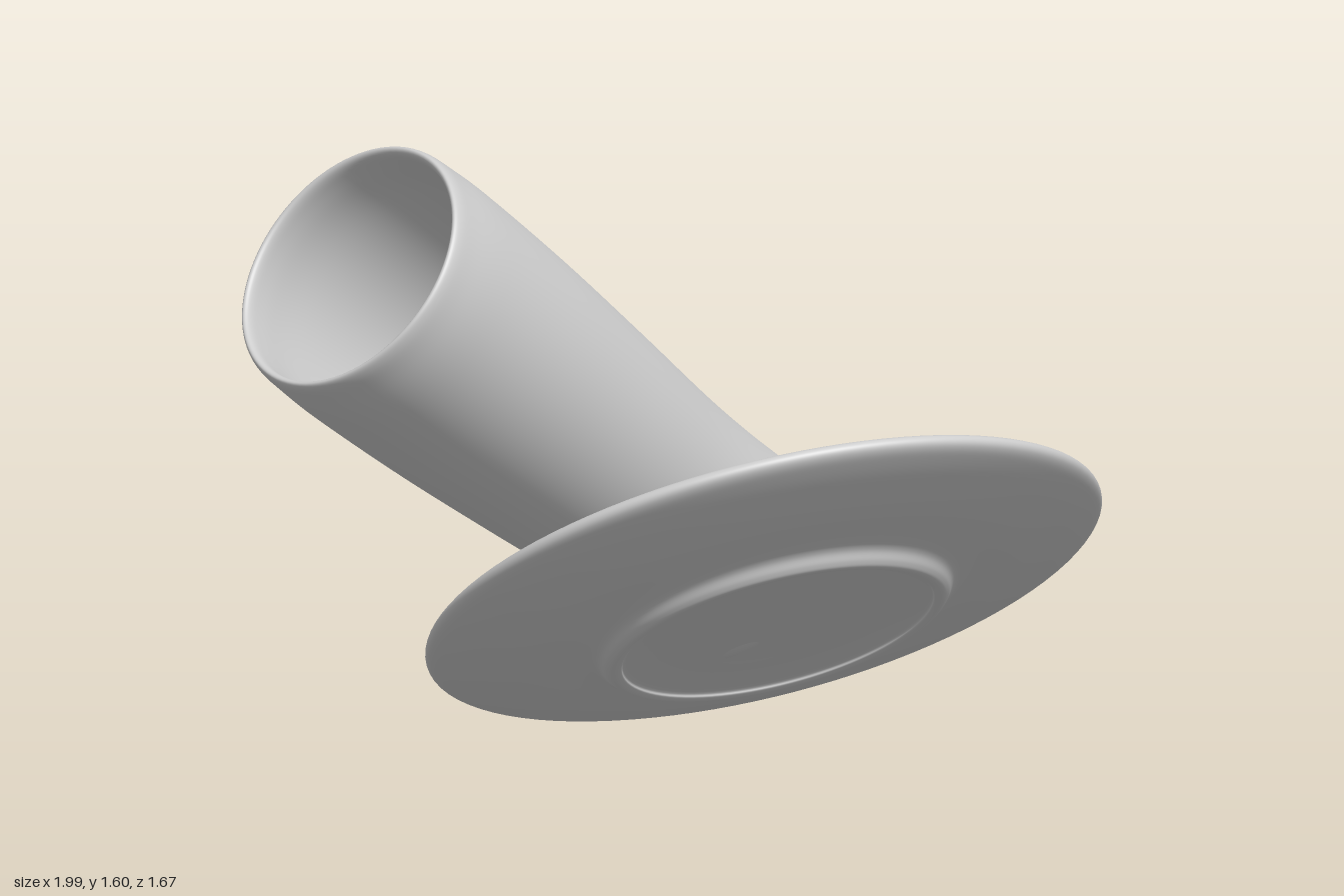
import * as THREE from 'three';

const glaze = new THREE.MeshStandardMaterial({ color: 0xcccccc });
glaze.name = 'grey glaze';

// Smooth closed-wall vessel turned from [radius, height] points, tilted along an axis
function turned(name, points, samples, centre, axis) {
  const curve = new THREE.SplineCurve(points.map(([r, h]) => new THREE.Vector2(r, h)));
  const profile = curve.getPoints(samples);
  profile.forEach((p) => { p.x = Math.max(p.x, 0); });
  const mesh = new THREE.Mesh(new THREE.LatheGeometry(profile, 96), glaze);
  mesh.name = name;
  mesh.position.set(...centre);
  mesh.quaternion.setFromUnitVectors(
    new THREE.Vector3(0, 1, 0), new THREE.Vector3(...axis).normalize());
  return mesh;
}

export function createModel() {
  const model = new THREE.Group();
  model.name = 'cupAndSaucer';

  // Saucer: recessed underside, foot ring, sloping wall, rounded rim, shallow well
  model.add(turned('saucer', [
    [0, -0.125], [0.2, -0.125], [0.36, -0.127], [0.385, -0.138], [0.405, -0.14],
    [0.42, -0.13], [0.44, -0.108], [0.48, -0.096], [0.6, -0.078], [0.72, -0.048],
    [0.79, -0.024], [0.82, -0.008], [0.828, 0.008], [0.82, 0.022], [0.8, 0.024],
    [0.72, 0.005], [0.6, -0.025], [0.48, -0.048], [0.37, -0.062], [0.34, -0.07],
    [0.31, -0.08], [0.2, -0.084], [0, -0.084],
  ], 132, [0.205, 0.455, -0.11], [-0.28, 0.835, -0.472]));

  // Cup: heights run down from the rim; outer wall, rounded lip, then inner wall
  model.add(turned('cup', [
    [0, -1.54], [0.12, -1.54], [0.21, -1.54], [0.24, -1.53], [0.258, -1.505],
    [0.264, -1.46], [0.264, -1.38], [0.265, -1.27], [0.273, -1.1], [0.297, -0.82],
    [0.321, -0.5], [0.334, -0.2], [0.332, -0.06], [0.328, -0.012], [0.318, 0.003],
    [0.306, -0.01], [0.304, -0.06], [0.306, -0.2], [0.293, -0.5], [0.268, -0.82],
    [0.244, -1.1], [0.235, -1.3], [0.232, -1.44], [0.215, -1.49], [0.17, -1.505], [0, -1.505],
  ], 150, [-0.728, 1.338, 0.563], [-0.57, 0.59, 0.575]));

  return model;
}
